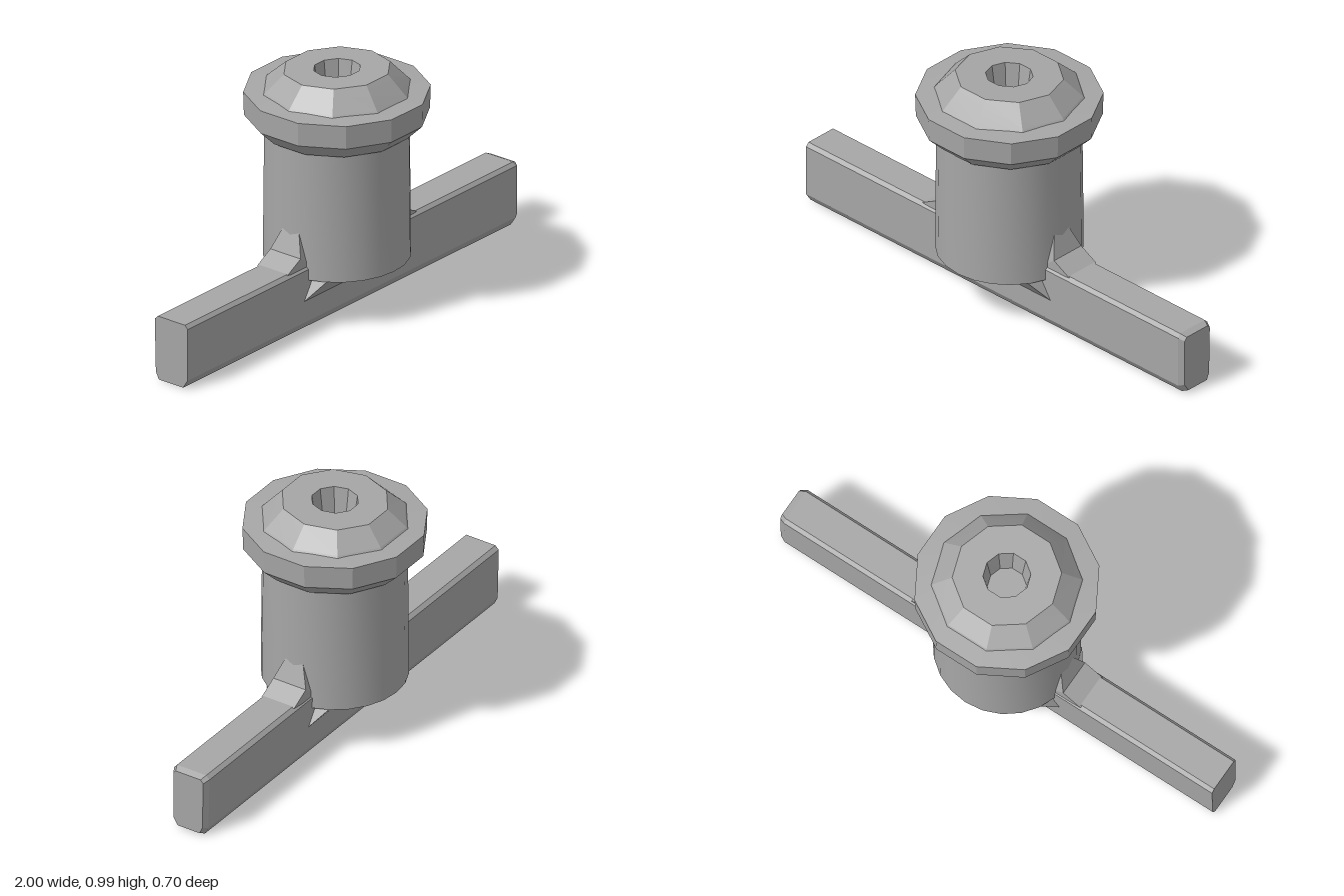
import * as THREE from 'three';
import { toCreasedNormals } from 'three/addons/utils/BufferGeometryUtils.js';

const grey = new THREE.MeshStandardMaterial({ color: 0xa6a6a6 });
grey.name = 'grey';

const points = (list) => list.map(([x, y]) => new THREE.Vector2(x, y));

// Moves every vertex by a rule
function reshape(geometry, rule) {
  const pos = geometry.attributes.position;
  const v = new THREE.Vector3();
  for (let i = 0; i < pos.count; i++) {
    rule(v.fromBufferAttribute(pos, i));
    pos.setXYZ(i, v.x, v.y, v.z);
  }
  return geometry;
}

function part(name, geometry, crease = 0.1) {
  const mesh = new THREE.Mesh(toCreasedNormals(geometry, crease), grey);
  mesh.name = name;
  return mesh;
}

function turned(profile, sides, start = 0) {
  return new THREE.LatheGeometry(points(profile), sides, start);
}

// Cross-section given as [-z, y], swept along x between two stations
function sweptAlongX(section, from, to, steps = 1) {
  const geometry = new THREE.ExtrudeGeometry(new THREE.Shape(points(section)), {
    depth: to - from, steps, bevelEnabled: false,
  });
  return geometry.rotateY(Math.PI / 2).translate(from, 0, 0);
}

export function createModel() {
  const model = new THREE.Group();
  model.name = 'postOnBar';

  // Long base bar with worn lower edges and one chamfered end
  const section = [
    [-0.06, 0], [0.06, 0], [0.075, 0.03], [0.08, 0.25],
    [0.065, 0.265], [-0.07, 0.265], [-0.083, 0.25], [-0.083, 0.035],
  ];
  const bar = reshape(sweptAlongX(section, -1, 1, 80), (v) => {
    if (v.x > 0.99) {
      v.z *= 0.85;
      v.y = 0.13 + (v.y - 0.13) * 0.92;
    }
  });
  model.add(part('baseBar', bar));

  // Smooth round post
  const post = turned([[0, 0.2], [0.285, 0.205], [0.283, 0.45], [0.28, 0.75]], 24);
  model.add(part('post', post, 0.7));

  // Flared web joining the post's underside to the bar
  const web = sweptAlongX([[-0.08, 0.12], [0.07, 0.12], [0.14, 0.206], [-0.15, 0.206]], -0.3, 0.3);
  model.add(part('underWeb', reshape(web, (v) => {
    if (v.y > 0.2) v.x *= 0.82;
  })));

  // Small gussets on top of the bar against the post
  for (const side of [1, -1]) {
    const shape = new THREE.Shape(points([[0.22, 0.24], [0.39, 0.262], [0.31, 0.305], [0.275, 0.4]]));
    const gusset = new THREE.ExtrudeGeometry(shape, { depth: 0.15, bevelEnabled: false });
    gusset.translate(0, 0, -0.075);
    reshape(gusset, (v) => { if (v.y > 0.35) v.z *= 0.5; });
    if (side < 0) gusset.rotateY(Math.PI);
    model.add(part(side > 0 ? 'leftGusset' : 'rightGusset', gusset));
  }

  // Faceted collar
  const collar = turned(
    [[0.27, 0.725], [0.295, 0.735], [0.358, 0.797], [0.361, 0.893], [0.26, 0.9]],
    12, Math.PI / 12,
  );
  model.add(part('collar', collar));

  // Sloped cap with a slightly tilted top and a socket
  const cap = turned(
    [[0.295, 0.892], [0.285, 0.905], [0.21, 0.985], [0.092, 0.985], [0.075, 0.86], [0, 0.86]],
    10, Math.PI / 10,
  );
  model.add(part('cap', reshape(cap, (v) => {
    if (v.y > 0.95) v.y += v.z * 0.035 - 0.006;
  })));

  return model;
}
